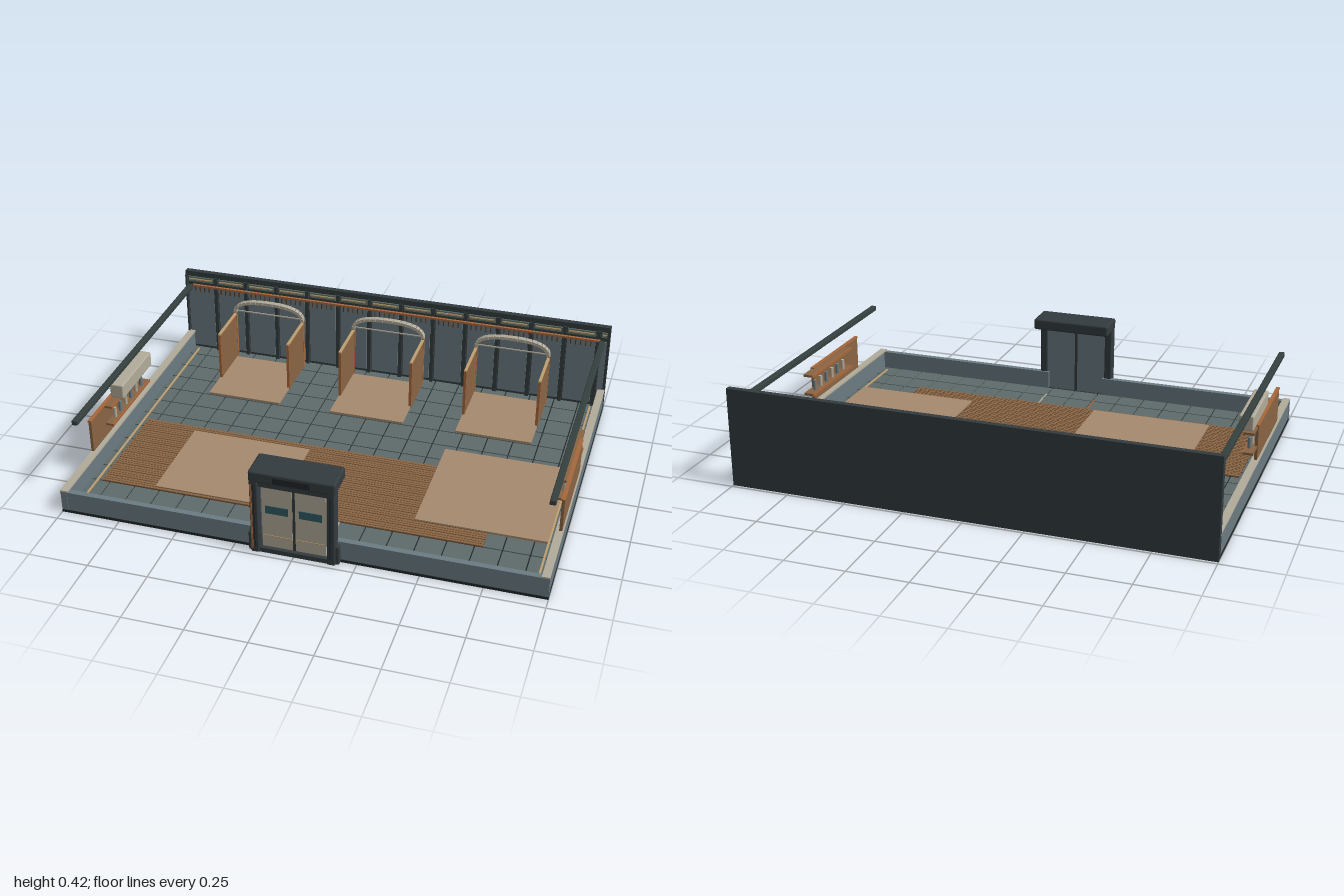
import * as THREE from 'three';
import { RoundedBoxGeometry } from 'three/addons/geometries/RoundedBoxGeometry.js';

const mat = (color) => new THREE.MeshStandardMaterial({ color });
const M = {
  dark: mat(0x343c3f), base: mat(0x22272a), tile: mat(0x5f6c6c), panel: mat(0x6c7d84),
  beige: mat(0xb3ac9b), tan: mat(0xc0a070), wood: mat(0x8a6544), woodDark: mat(0x543a26),
  mat: mat(0xa68b70), copper: mat(0xa8683c), glass: mat(0x2f5b66), rail: mat(0x35413f), green: mat(0x66766c),
};

// Box given by its minimum and maximum corners; r rounds the edges
function box(parent, name, m, x0, x1, y0, y1, z0, z1, r = 0) {
  const size = [x1 - x0, y1 - y0, z1 - z0];
  const geo = r ? new RoundedBoxGeometry(...size, 2, r) : new THREE.BoxGeometry(...size);
  const mesh = new THREE.Mesh(geo, m);
  mesh.name = name;
  mesh.position.set((x0 + x1) / 2, (y0 + y1) / 2, (z0 + z1) / 2);
  parent.add(mesh);
  return mesh;
}

function group(parent, name, x = 0, y = 0, z = 0) {
  const g = new THREE.Group();
  g.name = name;
  g.position.set(x, y, z);
  parent.add(g);
  return g;
}

function cylinder(parent, name, m, r, h, x, y, z) {
  const mesh = new THREE.Mesh(new THREE.CylinderGeometry(r, r, h, 10), m);
  mesh.name = name;
  mesh.position.set(x, y, z);
  parent.add(mesh);
  return mesh;
}

function buildFloor(root) {
  const g = group(root, 'floor');
  box(g, 'foundation', M.base, -1, 1, 0, 0.012, -0.73, 0.7);
  // Square tiles separated by dark joints
  const p = 0.1111, gap = 0.003;
  for (let i = 0; i < 18; i++) {
    for (let j = 0; j < 13; j++) {
      const x = -1 + i * p, z = -0.75 + j * p;
      box(g, 'floorTile', M.tile, Math.max(x + gap, -0.975), Math.min(x + p - gap, 0.975),
        0.01, 0.018, Math.max(z + gap, -0.715), Math.min(z + p - gap, 0.68));
    }
  }
  // Plank walkway
  box(g, 'walkwayBase', M.woodDark, -0.925, 0.7, 0.012, 0.02, -0.025, 0.475);
  for (let k = 0; k < 11; k++) {
    const z = -0.025 + k * 0.0455;
    box(g, 'walkwayPlank', M.wood, -0.925, 0.7, 0.015, 0.024, z + 0.002, z + 0.043);
    for (const s of [0.016, 0.03])
      box(g, 'plankGroove', M.woodDark, -0.925, 0.7, 0.02, 0.0245, z + s, z + s + 0.0015);
  }
  // Large mats and guide strips
  box(g, 'leftoverMat', M.mat, -0.69, -0.16, 0.02, 0.028, 0.015, 0.46).name = 'rightMat';
  box(g, 'leftMat', M.mat, 0.4, 0.94, 0.018, 0.028, -0.155, 0.38);
  box(g, 'guideStrip', M.copper, -0.123, -0.117, 0.016, 0.021, 0.475, 0.6);
  box(g, 'guideStrip', M.beige, 0.11, 0.115, 0.016, 0.021, 0.475, 0.6);
}

function buildLowWalls(root) {
  const g = group(root, 'lowWalls');
  for (const s of [-1, 1]) {
    const span = (a, b) => (s > 0 ? [a, b] : [-b, -a]);
    box(g, 'sideWall', M.panel, ...span(0.972, 0.998), 0.012, 0.097, -0.715, 0.7);
    box(g, 'sideWallCap', M.beige, ...span(0.968, 1), 0.097, 0.104, -0.715, 0.7);
    box(g, 'sideSkirting', M.tan, ...span(0.94, 0.948), 0.016, 0.023, -0.69, 0.645);
    box(g, 'frontWall', M.panel, ...span(0.13, 1), 0.012, 0.09, 0.677, 0.698);
    box(g, 'frontWallCap', M.panel, ...span(0.13, 1), 0.09, 0.098, 0.675, 0.7);
    box(g, 'overheadRail', M.rail, ...span(0.957, 0.982), 0.343, 0.365, -0.69, 0.575, 0.004);
  }
}

function buildBackWall(root) {
  const g = group(root, 'backWall');
  box(g, 'wallSlab', M.dark, -1, 1, 0, 0.42, -0.737, -0.718);
  box(g, 'topBeam', M.dark, -1, 1, 0.395, 0.42, -0.73, -0.712);
  // Bays between posts, each with panel, vent strip and pegs
  for (let k = 0; k < 14; k++) {
    const x = -1 + k * 0.15, end = Math.min(x + 0.15, 1);
    box(g, 'wallPost', M.dark, Math.max(x - 0.008, -1), x + 0.008, 0.016, 0.4, -0.72, -0.704);
    box(g, 'wallPanel', M.panel, x + 0.012, end - 0.012, 0.03, 0.345, -0.72, -0.712);
    box(g, 'ventPanel', M.green, x + 0.012, end - 0.012, 0.367, 0.392, -0.72, -0.712);
    box(g, 'ventStrip', M.tan, x + 0.018, end - 0.018, 0.378, 0.384, -0.714, -0.707);
    if (end - x < 0.1) continue;
    for (let i = 0; i < 5; i++) {
      const px = x + 0.03 + i * 0.0225;
      box(g, 'peg', M.woodDark, px - 0.002, px + 0.002, 0.325, 0.355, -0.702, -0.696);
    }
  }
  box(g, 'pegRail', M.copper, -0.96, 0.96, 0.352, 0.361, -0.704, -0.692);
}

function buildBooth(root, x) {
  const g = group(root, 'booth', x);
  box(g, 'boothMat', M.mat, -0.169, 0.169, 0.018, 0.027, -0.66, -0.31);
  for (const s of [-1, 1]) {
    const c = s * 0.165;
    box(g, 'partition', M.wood, c - 0.005, c + 0.005, 0.018, 0.246, -0.67, -0.455);
    box(g, 'partitionTrim', M.tan, c - 0.006, c + 0.006, 0.246, 0.253, -0.67, -0.453);
    box(g, 'partitionEdge', M.copper, c - 0.006, c + 0.006, 0.018, 0.247, -0.457, -0.452);
    box(g, 'archPost', M.copper, c - 0.006, c + 0.006, 0.018, 0.258, -0.684, -0.67);
  }
  // Segmented arch of small blocks
  const n = 17;
  const at = (t) => new THREE.Vector2(
    -0.165 * Math.sign(Math.cos(t)) * Math.abs(Math.cos(t)) ** 0.8, 0.257 + 0.066 * Math.sin(t) ** 0.8);
  for (let i = 0; i < n; i++) {
    const a = at(Math.PI * i / n), b = at(Math.PI * (i + 1) / n);
    const len = a.distanceTo(b);
    const block = box(g, 'archBlock', M.beige, -len * 0.47, len * 0.47, -0.007, 0.007, -0.687, -0.663);
    block.position.x = (a.x + b.x) / 2;
    block.position.y = (a.y + b.y) / 2;
    block.rotation.z = Math.atan2(b.y - a.y, b.x - a.x);
  }
  box(g, 'archBar', M.beige, -0.165, 0.165, 0.257, 0.262, -0.69, -0.685);
}

function buildDoorway(root) {
  const g = group(root, 'doorway');
  box(g, 'threshold', M.dark, -0.14, 0.14, 0, 0.02, 0.68, 0.725);
  box(g, 'header', M.dark, -0.175, 0.175, 0.33, 0.38, 0.597, 0.733, 0.009);
  box(g, 'lintel', M.dark, -0.15, 0.15, 0.308, 0.332, 0.685, 0.722);
  box(g, 'signPlate', M.base, -0.075, 0.075, 0.34, 0.366, 0.731, 0.735);
  for (const s of [-1, 1]) {
    const span = (a, b) => (s > 0 ? [a, b] : [-b, -a]);
    box(g, 'doorPost', M.dark, ...span(0.138, 0.172), 0, 0.345, 0.683, 0.733, 0.006);
    box(g, 'postFoot', M.dark, ...span(0.135, 0.185), 0, 0.085, 0.69, 0.722, 0.005);
    box(g, 'postGroove', M.base, ...span(0.152, 0.156), 0.03, 0.32, 0.73, 0.735);
    // Sliding door leaf with window, beige outside and grey inside
    box(g, 'doorLeafInner', M.panel, ...span(0.003, 0.138), 0.018, 0.31, 0.69, 0.7);
    box(g, 'doorLeaf', M.beige, ...span(0.006, 0.13), 0.022, 0.305, 0.7, 0.71);
    box(g, 'doorWindow', M.glass, ...span(0.022, 0.115), 0.182, 0.217, 0.708, 0.713);
    box(g, 'doorStripe', M.tan, ...span(0.01, 0.125), 0.073, 0.077, 0.708, 0.712);
  }
  box(g, 'doorSeam', M.dark, -0.006, 0.006, 0.02, 0.308, 0.69, 0.708);
  box(g, 'lightStrip', M.copper, -0.168, -0.161, 0.02, 0.32, 0.731, 0.736);
}

// Wall counter with shelves and bottles; s picks the side
function buildCounter(root, s) {
  const g = group(root, s > 0 ? 'leftCounter' : 'rightCounter');
  const span = (a, b) => (s > 0 ? [a, b] : [-b, -a]);
  box(g, 'counterPanel', M.wood, ...span(0.983, 0.995), 0.112, 0.258, -0.035, 0.408);
  box(g, 'counterTrim', M.copper, ...span(0.981, 0.997), 0.256, 0.263, -0.035, 0.412);
  for (const y of [0.162, 0.248]) {
    box(g, 'shelf', M.wood, ...span(0.95, 0.992), y, y + 0.01, -0.113, 0.275);
    box(g, 'shelfEdge', M.copper, ...span(0.947, 0.951), y - 0.001, y + 0.011, -0.115, 0.277);
  }
  for (let i = 0; i < 6; i++)
    cylinder(g, 'bottle', i % 2 ? M.beige : M.panel, 0.008, 0.046, s * 0.966, 0.195, -0.06 + i * 0.055);
  if (s < 0) box(g, 'storageBox', M.beige, ...span(0.925, 0.985), 0.259, 0.324, -0.1, 0.205, 0.006);
}

export function createModel() {
  const root = new THREE.Group();
  root.name = 'diningHall';
  buildFloor(root);
  buildLowWalls(root);
  buildBackWall(root);
  for (const x of [-0.577, 0, 0.577]) buildBooth(root, x);
  buildDoorway(root);
  for (const s of [-1, 1]) buildCounter(root, s);
  return root;
}
